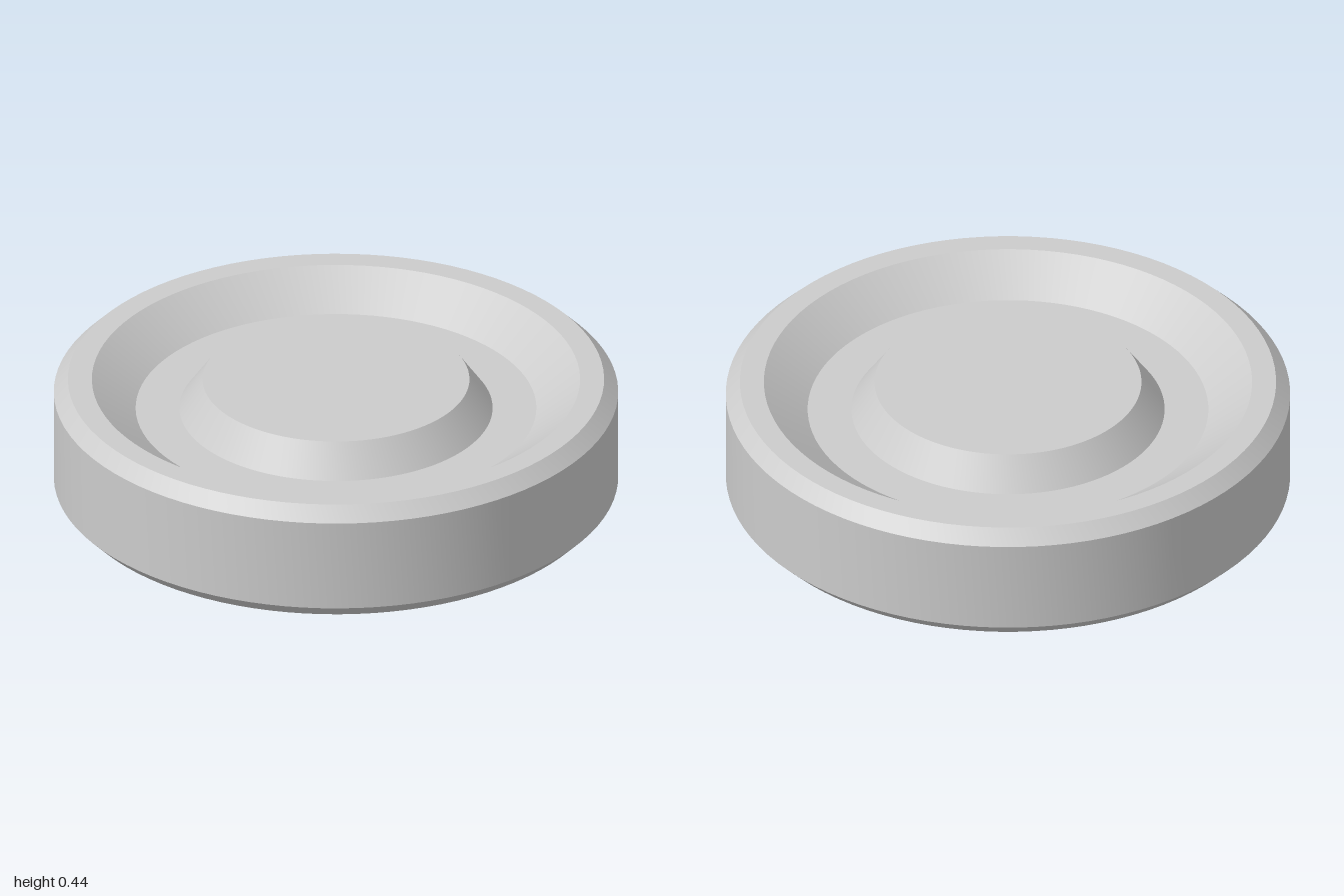
import * as THREE from 'three';
import { toCreasedNormals } from 'three/addons/utils/BufferGeometryUtils.js';

const SEGMENTS = 96;

// Revolve an [radius, height] profile, smooth around and sharp at the profile corners
function turned(name, profile, material) {
  const points = profile.map(([r, y]) => new THREE.Vector2(r, y));
  const geometry = toCreasedNormals(new THREE.LatheGeometry(points, SEGMENTS), 0.4);
  const mesh = new THREE.Mesh(geometry, material);
  mesh.name = name;
  return mesh;
}

export function createModel() {
  const group = new THREE.Group();
  group.name = 'ringedDisc';
  const material = new THREE.MeshStandardMaterial({ color: 0xcccccc });

  const height = 0.44, floorY = 0.325, recessY = 0.14;
  const chamfer = 0.05, hubBase = 0.555;

  // Recessed underside
  group.add(turned('undersideRecess', [
    [0, recessY], [0.85, recessY], [0.85, 0],
  ], material));

  // Chamfered outer wall, flat rim, sloping inner wall and groove floor
  group.add(turned('rim', [
    [0.85, 0], [1 - chamfer, 0], [1, chamfer],
    [1, height - chamfer], [1 - chamfer, height],
    [0.865, height], [0.71, floorY], [hubBase, floorY],
  ], material));

  // Raised tapered centre
  group.add(turned('hub', [
    [hubBase, floorY], [0.473, height], [0, height],
  ], material));

  return group;
}
